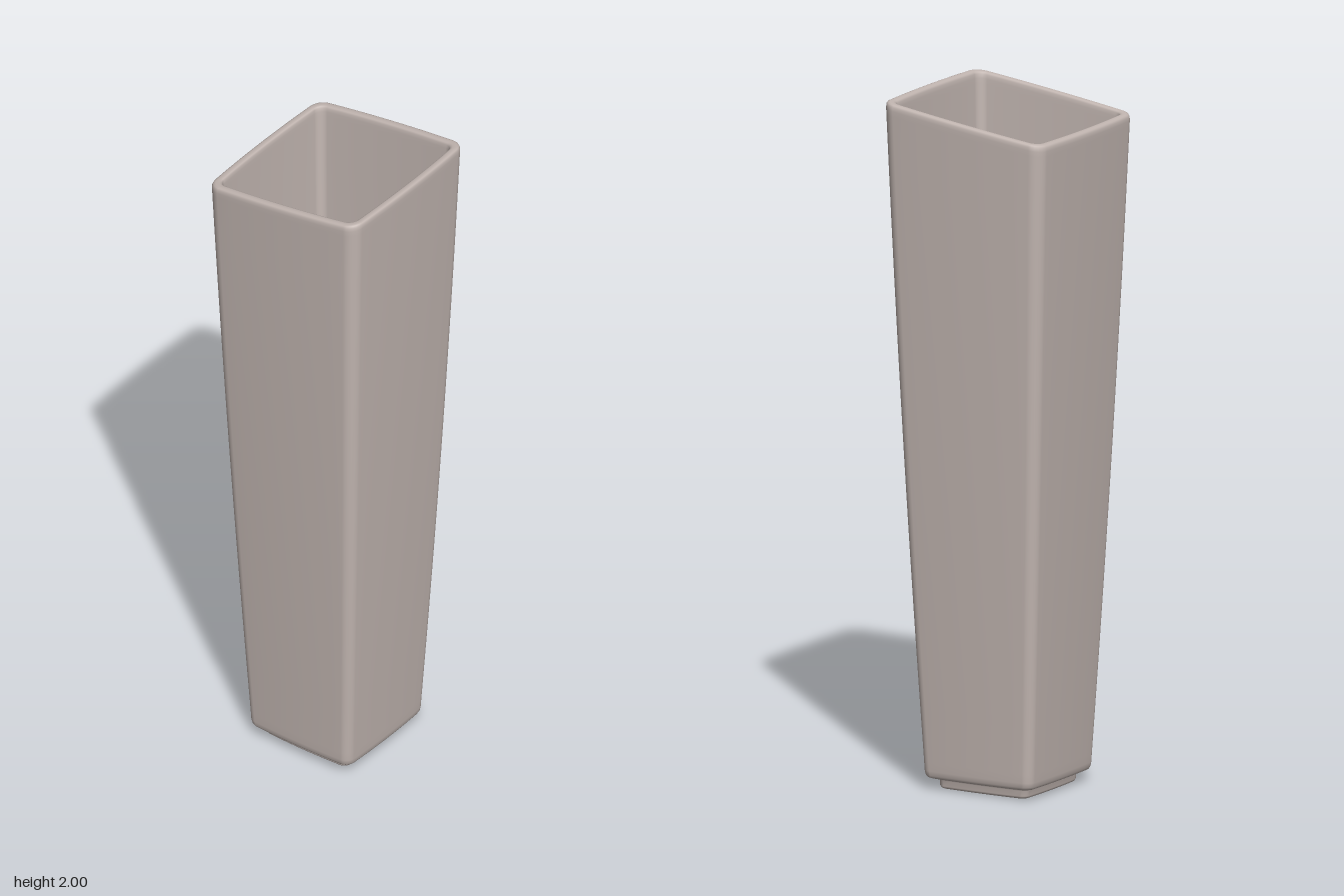
import * as THREE from 'three';

const CORNER = 6; // segments per rounded corner
const SIDE = 10;  // segments per side

// Rounded square outline with slightly bowed sides
function squareRing(w, r) {
  const pts = [];
  for (let q = 0; q < 4; q++) {
    const local = [];
    for (let i = 0; i < SIDE; i++) local.push([w, (w - r) * (2 * i / SIDE - 1)]);
    for (let i = 0; i < CORNER; i++) {
      const a = (i / CORNER) * Math.PI / 2;
      local.push([w - r + r * Math.cos(a), w - r + r * Math.sin(a)]);
    }
    const c = [1, 0, -1, 0][q], s = [0, 1, 0, -1][q];
    for (const [u, v] of local) {
      const bu = u * (1 - 0.03 * (v / w) ** 2), bv = v * (1 - 0.03 * (u / w) ** 2);
      pts.push([bu * c - bv * s, bu * s + bv * c]);
    }
  }
  return pts;
}

// Skin a list of [halfWidth, height, cornerRadius] rings
function loft(rings) {
  const pos = [], index = [];
  const n = 4 * (SIDE + CORNER);
  rings.forEach(([w, y, r], k) => {
    for (const [x, z] of squareRing(w, r)) {
      // the mouth is cut on a slant, higher on the +x side
      const slant = 0.14 * x * Math.pow(Math.max(0, y) / 1.963, 2);
      pos.push(x, y + slant, z);
    }
    if (k === 0) return;
    for (let i = 0; i < n; i++) {
      const a = (k - 1) * n + i, b = (k - 1) * n + (i + 1) % n;
      index.push(a, a + n, b, b, a + n, b + n);
    }
  });
  const g = new THREE.BufferGeometry();
  g.setAttribute('position', new THREE.Float32BufferAttribute(pos, 3));
  g.setIndex(index);
  g.computeVertexNormals();
  return g;
}

export function createModel() {
  const group = new THREE.Group();
  const ceramic = new THREE.MeshStandardMaterial({ color: 0xc2b6b1 });
  ceramic.name = 'warm grey ceramic';

  const rings = [
    // recessed underside and foot ring
    [0.002, 0.02, 0.0005], [0.11, 0.02, 0.015], [0.119, 0.02, 0.015],
    [0.122, 0.017, 0.015], [0.124, 0.004, 0.015], [0.128, 0, 0.016],
    [0.142, 0, 0.018], [0.147, 0.003, 0.02], [0.149, 0.008, 0.02],
    [0.15, 0.024, 0.02], [0.153, 0.029, 0.02],
    // shoulder under the body
    [0.158, 0.031, 0.021], [0.171, 0.032, 0.024], [0.178, 0.035, 0.026],
    [0.182, 0.042, 0.027], [0.184, 0.055, 0.027], [0.185, 0.08, 0.027],
  ];
  // outer wall, gently swelling
  const outer = (t) => 0.185 + 0.083 * t + 0.018 * t * (1 - t);
  for (let i = 1; i <= 12; i++) {
    const t = i / 12;
    rings.push([outer(t), 0.08 + 1.85 * t, 0.027 + 0.011 * t]);
  }
  // rounded rim
  rings.push([0.2685, 1.945, 0.038], [0.268, 1.955, 0.038], [0.265, 1.961, 0.036],
    [0.26, 1.963, 0.034], [0.251, 1.963, 0.03], [0.246, 1.961, 0.027],
    [0.243, 1.956, 0.025], [0.242, 1.945, 0.025]);
  // inner wall
  for (let i = 12; i >= 1; i--) {
    const t = i / 12;
    rings.push([outer(t) - 0.0265, 0.09 + 1.84 * t, 0.018 + 0.007 * t]);
  }
  // inside floor
  rings.push([0.164, 0.12, 0.018], [0.161, 0.085, 0.018], [0.157, 0.075, 0.018],
    [0.15, 0.071, 0.018], [0.14, 0.07, 0.017], [0.002, 0.07, 0.0005]);

  const vase = new THREE.Mesh(loft(rings), ceramic);
  vase.name = 'vase';
  group.add(vase);
  return group;
}
